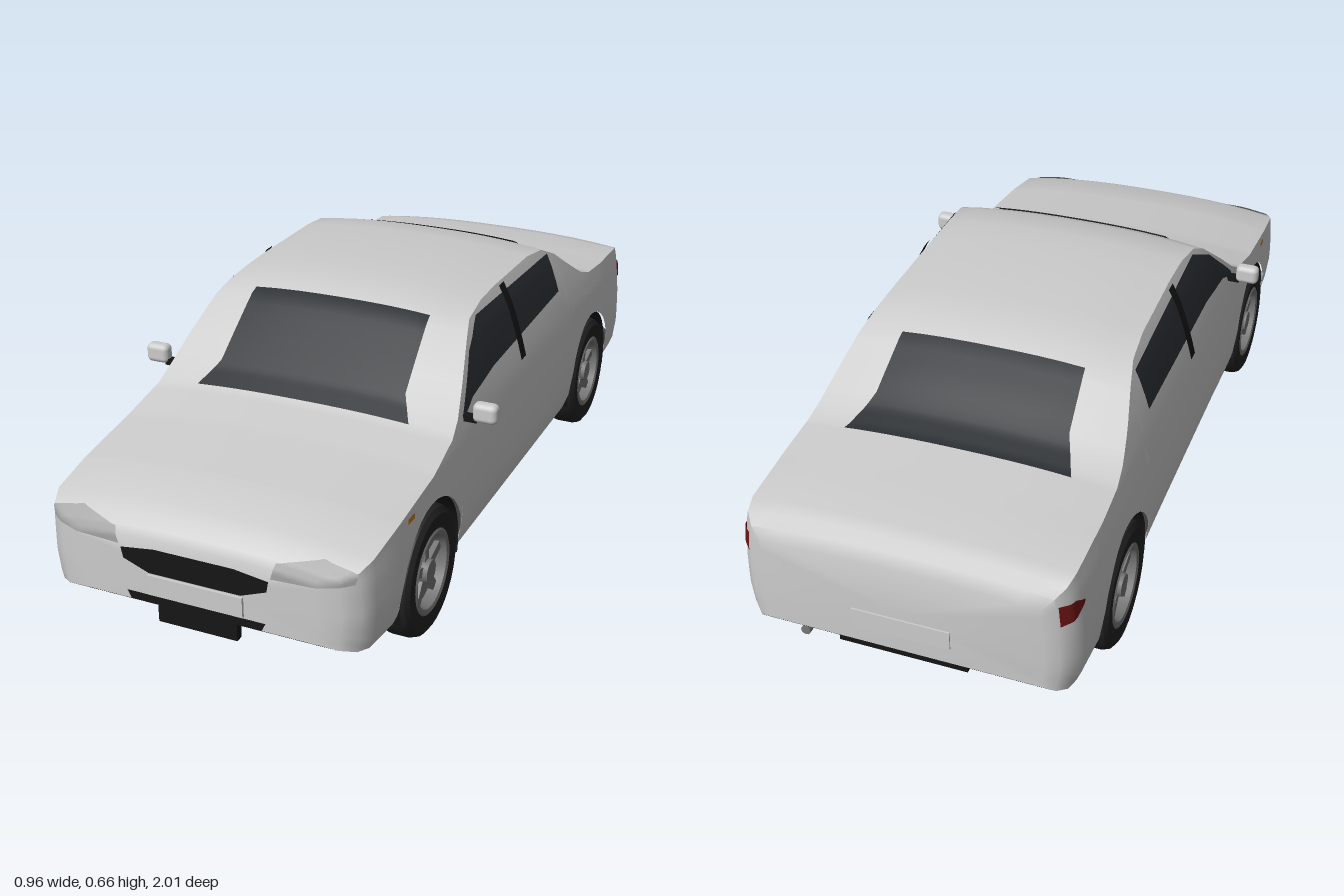
import * as THREE from 'three';
import { toCreasedNormals } from 'three/addons/utils/BufferGeometryUtils.js';
import { RoundedBoxGeometry } from 'three/addons/geometries/RoundedBoxGeometry.js';

const mat = (color, side = THREE.FrontSide) => new THREE.MeshStandardMaterial({ color, side });
const PAINT = mat(0xcccccc), PAINT2 = mat(0xcccccc, THREE.DoubleSide);
const GLASS = mat(0x2a2e32, THREE.DoubleSide), BLACK = mat(0x151515, THREE.DoubleSide);
const UNDER = mat(0x3a3a3a, THREE.DoubleSide), TYRE = mat(0x222222), RIM = mat(0x777777);

// Stations along the car: z, width scale, bottom y, shoulder/roof edge y, centre top y
const STATIONS = [
  [-0.998, 0.82, 0.16, 0.385, 0.4], [-0.985, 0.9, 0.145, 0.415, 0.435], [-0.96, 0.96, 0.135, 0.435, 0.455],
  [-0.92, 0.985, 0.125, 0.445, 0.463], [-0.75, 1, 0.115, 0.455, 0.478], [-0.64, 1, 0.115, 0.465, 0.488],
  [-0.58, 1, 0.115, 0.485, 0.51], [-0.5, 1, 0.115, 0.535, 0.565], [-0.42, 1, 0.115, 0.59, 0.615],
  [-0.35, 1, 0.115, 0.622, 0.643], [-0.25, 1, 0.115, 0.635, 0.656], [0, 1, 0.115, 0.64, 0.66],
  [0.1, 1, 0.115, 0.638, 0.658], [0.2, 1, 0.115, 0.625, 0.646], [0.25, 1, 0.115, 0.6, 0.623],
  [0.35, 1, 0.115, 0.52, 0.54], [0.42, 1, 0.115, 0.46, 0.482], [0.47, 1, 0.115, 0.43, 0.45],
  [0.6, 1, 0.115, 0.4, 0.428], [0.8, 0.99, 0.12, 0.375, 0.405], [0.92, 0.97, 0.13, 0.355, 0.385],
  [0.96, 0.93, 0.14, 0.34, 0.365], [0.985, 0.84, 0.15, 0.325, 0.345], [0.997, 0.72, 0.16, 0.31, 0.325]];

// Half width of the side at each height: y, x
const SIDE = [[0.11, 0.39], [0.15, 0.408], [0.22, 0.417], [0.3, 0.415], [0.4, 0.405],
  [0.46, 0.392], [0.53, 0.372], [0.6, 0.347], [0.64, 0.325]];

const AXLES = [-0.62, 0.62], AXLE_Y = 0.16, ARCH = 0.18;

function lookup(table, t, col) {
  let i = 1;
  while (i < table.length - 1 && table[i][0] < t) i++;
  const a = table[i - 1], b = table[i];
  const k = THREE.MathUtils.clamp((t - a[0]) / (b[0] - a[0]), 0, 1);
  return a[col] + (b[col] - a[col]) * k;
}

const archAt = z => AXLES.find(c => Math.abs(z - c) <= ARCH + 1e-6);

// Station positions, with extra ones following the round wheel arches
function stationZs() {
  const zs = STATIONS.map(s => s[0]).filter(z => archAt(z) === undefined || z === -0.64 || z === 0.6);
  for (const c of AXLES) {
    for (let k = 0; k <= 16; k++) zs.push(c + ARCH * Math.cos(Math.PI * k / 16));
    zs.push(c - ARCH - 0.002, c + ARCH + 0.002);
  }
  return zs.sort((a, b) => a - b);
}

// One cross-section, from the lower right edge over the roof to the lower left edge
function section(z) {
  const [w, bottom, edge, top] = [1, 2, 3, 4].map(c => lookup(STATIONS, z, c));
  const c = archAt(z);
  const low = c === undefined ? bottom
    : Math.max(bottom, AXLE_Y + Math.sqrt(Math.max(0, ARCH * ARCH - (z - c) ** 2)));
  const half = [];
  const xe = lookup(SIDE, edge, 1) * w;
  for (let i = 0; i < 6; i++) {
    const s = i / 6;
    half.push([xe * s, edge + (top - edge) * (1 - s ** 2.5)]);
  }
  for (let i = 0; i <= 11; i++) {
    const y = edge + (low - edge) * i / 11;
    half.push([lookup(SIDE, y, 1) * w, y]);
  }
  return [...half.slice(1).reverse().map(([x, y]) => [-x, y]), ...half];
}

function gridIndex(rows, cols) {
  const index = [];
  for (let i = 0; i < rows - 1; i++) for (let j = 0; j < cols - 1; j++) {
    const a = i * cols + j, b = a + cols;
    index.push(a, b, a + 1, b, b + 1, a + 1);
  }
  return index;
}

function surface(pos, index, crease) {
  const g = new THREE.BufferGeometry();
  g.setAttribute('position', new THREE.Float32BufferAttribute(pos, 3));
  g.setIndex(index);
  g.computeVertexNormals();
  return crease ? toCreasedNormals(g, crease) : g;
}

function bodyGeometry(zs) {
  const rings = zs.map(section), n = rings[0].length, pos = [];
  rings.forEach((r, i) => r.forEach(([x, y]) => pos.push(x, y, zs[i])));
  const index = gridIndex(zs.length, n);
  // Nose and tail caps
  const last = (zs.length - 1) * n, centre = zs.length * n;
  pos.push(0, 0.27, zs[0], 0, 0.25, zs[zs.length - 1]);
  for (let j = 0; j < n; j++) {
    const k = (j + 1) % n;
    index.push(centre, j, k, centre + 1, last + k, last + j);
  }
  return surface(pos, index, 0.75);
}

// Flat floor, narrowed between the wheel wells
function floorGeometry(zs) {
  const pos = [];
  for (const z of zs) {
    const y = lookup(STATIONS, z, 2);
    const x = archAt(z) === undefined ? lookup(SIDE, y, 1) * lookup(STATIONS, z, 1) : 0.25;
    pos.push(-x, y, z, x, y, z);
  }
  return surface(pos, gridIndex(zs.length, 2));
}

// Ray origin and direction for laying a panel on the body from one direction
const AIM = {
  top: (u, v) => [[u, 2, v], [0, -1, 0]], front: (u, v) => [[u, v, 2], [0, 0, -1]],
  back: (u, v) => [[u, v, -2], [0, 0, 1]],
  left: (u, v) => [[2, v, u], [-1, 0, 0]], right: (u, v) => [[-2, v, u], [1, 0, 0]] };

// Thin panel draped over the body; rows are polylines of equal length
function drape(body, name, material, from, rows, lift = 0.004, steps = 8) {
  const ray = new THREE.Raycaster(), pos = [], R = (rows.length - 1) * steps, C = (rows[0].length - 1) * steps;
  let p = new THREE.Vector3();
  for (let i = 0; i <= R; i++) for (let j = 0; j <= C; j++) {
    const r = Math.min(Math.floor(i / steps), rows.length - 2), c = Math.min(Math.floor(j / steps), rows[0].length - 2);
    const a = i / steps - r, b = j / steps - c;
    const mix = k => (rows[r][c][k] * (1 - b) + rows[r][c + 1][k] * b) * (1 - a)
      + (rows[r + 1][c][k] * (1 - b) + rows[r + 1][c + 1][k] * b) * a;
    const [o, d] = AIM[from](mix(0), mix(1));
    ray.set(new THREE.Vector3(...o), new THREE.Vector3(...d));
    const hit = ray.intersectObject(body)[0];
    if (hit) p = hit.point.clone().addScaledVector(hit.face.normal, lift);
    pos.push(p.x, p.y, p.z);
  }
  const m = new THREE.Mesh(surface(pos, gridIndex(R + 1, C + 1)), material);
  m.name = name;
  return m;
}

function wheel() {
  const g = new THREE.Group();
  const lathe = (pts, m, name) => {
    const geo = new THREE.LatheGeometry(pts.map(p => new THREE.Vector2(...p)), 32);
    geo.rotateZ(-Math.PI / 2);
    add(g, toCreasedNormals(geo, 0.6), m, name);
  };
  lathe([[0.02, -0.035], [0.1, -0.04], [0.142, -0.045], [0.155, -0.036], [0.16, -0.02], [0.16, 0.02], [0.155, 0.036],
    [0.142, 0.045], [0.105, 0.042]], TYRE, 'tyre');
  lathe([[0.107, 0.041], [0.1, 0.045], [0.09, 0.042], [0.084, 0.015], [0, 0.012]], RIM, 'rim');
  add(g, new THREE.CylinderGeometry(0.028, 0.034, 0.03, 16).rotateZ(-Math.PI / 2), RIM, 'hub', 0.024);
  for (let i = 0; i < 5; i++) {
    const spoke = new THREE.BoxGeometry(0.016, 0.07, 0.024).translate(0.02, 0.055, 0).rotateX(i * Math.PI * 0.4);
    add(g, spoke, RIM, 'spoke');
  }
  return g;
}

function add(parent, geo, material, name, x = 0, y = 0, z = 0) {
  const m = new THREE.Mesh(geo, material);
  m.name = name;
  m.position.set(x, y, z);
  parent.add(m);
  return m;
}

export function createModel() {
  const car = new THREE.Group(), zs = stationZs();
  car.name = 'car';
  const body = add(car, bodyGeometry(zs), PAINT, 'body');
  add(car, floorGeometry(zs), UNDER, 'floor');
  add(car, new THREE.BoxGeometry(0.24, 0.01, 1.7), BLACK, 'floorTunnel', 0, 0.113, 0.08);
  const panel = (...args) => car.add(drape(body, ...args));
  const span = (w, v) => [[-w, v], [0, v], [w, v]];

  // Glass
  panel('windscreen', GLASS, 'top', [span(0.285, 0.465), span(0.25, 0.4), span(0.24, 0.225)]);
  panel('rearWindow', GLASS, 'top', [span(0.285, -0.655), span(0.245, -0.55), span(0.235, -0.41)]);

  // Nose
  panel('grille', BLACK, 'front', [span(0.115, 0.24), span(0.18, 0.265), span(0.185, 0.292), span(0.1, 0.304)]);
  panel('lowerIntake', BLACK, 'front', [span(0.165, 0.163), span(0.175, 0.183)]);
  add(car, new THREE.BoxGeometry(0.2, 0.045, 0.02), BLACK, 'chinVent', 0, 0.137, 0.985);
  add(car, new THREE.BoxGeometry(0.24, 0.05, 0.008), PAINT, 'frontPlate', 0, 0.21, 1);
  add(car, new THREE.BoxGeometry(0.24, 0.05, 0.006), PAINT, 'rearPlate', 0, 0.23, -0.999);

  // Exhaust
  add(car, new THREE.BoxGeometry(0.32, 0.03, 0.07), BLACK, 'silencer', 0.01, 0.135, -0.94);
  add(car, new THREE.CylinderGeometry(0.012, 0.012, 0.1, 12).rotateX(Math.PI / 2), RIM, 'exhaustPipe', 0.25, 0.135, -0.94);

  for (const s of [1, -1]) {
    const side = s > 0 ? 'left' : 'right';
    panel('sideWindows', GLASS, side, [
      [[0.4, 0.445], [0.32, 0.475], [0.16, 0.492], [-0.37, 0.5]],
      [[0.395, 0.46], [0.27, 0.572], [0.17, 0.622], [-0.37, 0.605]]]);
    panel('doorPillar', BLACK, side, [[[-0.01, 0.44], [-0.045, 0.44]], [[-0.01, 0.634], [-0.045, 0.634]]], 0.007);
    panel('tailLight', mat(0x6e1414, THREE.DoubleSide), side, [[[-0.91, 0.365], [-0.945, 0.345], [-0.982, 0.34]],
      [[-0.912, 0.37], [-0.945, 0.39], [-0.982, 0.395]]]);
    panel('indicator', mat(0xc87820, THREE.DoubleSide), side, [[[0.725, 0.358], [0.76, 0.358]], [[0.725, 0.37], [0.76, 0.37]]]);
    panel('headlight', mat(0xa4a4a4, THREE.DoubleSide), 'front', [[[s * 0.19, 0.3], [s * 0.3, 0.305], [s * 0.375, 0.315]],
      [[s * 0.2, 0.335], [s * 0.3, 0.352], [s * 0.38, 0.338]]]);

    // Door mirror
    add(car, new RoundedBoxGeometry(0.062, 0.05, 0.036, 3, 0.014), PAINT, 'mirror', s * 0.447, 0.47, 0.378);
    add(car, new THREE.BoxGeometry(0.04, 0.016, 0.02), BLACK, 'mirrorArm', s * 0.406, 0.45, 0.378);

    for (const z of AXLES) {
      // Wheel well
      const a = Math.PI + 0.5;
      add(car, new THREE.CylinderGeometry(ARCH, ARCH, 0.155, 24, 1, true, Math.PI - 0.25, a).rotateZ(-Math.PI / 2),
        BLACK, 'wheelWell', s * 0.33, AXLE_Y, z);
      add(car, new THREE.CircleGeometry(ARCH, 24, -0.25, a).rotateY(Math.PI / 2), BLACK, 'wheelWellWall', s * 0.253, AXLE_Y, z);
      const w = wheel();
      w.name = (z > 0 ? 'front' : 'rear') + (s > 0 ? 'Left' : 'Right') + 'Wheel';
      w.position.set(s * 0.371, AXLE_Y, z);
      if (s < 0) w.rotation.y = Math.PI;
      car.add(w);
    }
  }
  return car;
}
